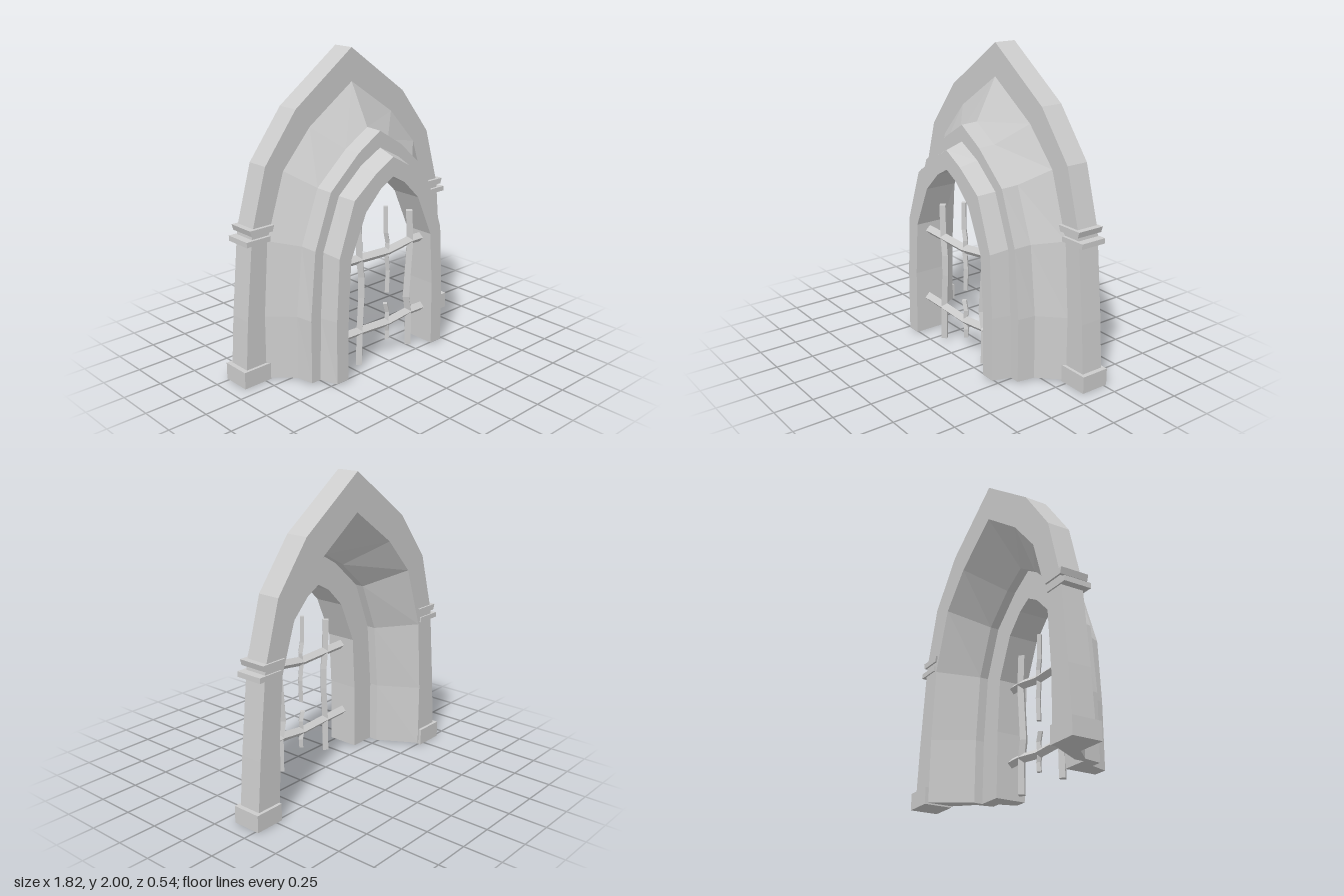
import * as THREE from 'three';

const stone = new THREE.MeshStandardMaterial({ color: 0xcccccc, flatShading: true });

// Skins a row of equal closed rings [x, y, z] and caps both ends.
// u, v are the two axes used to triangulate the caps.
function loft(rings, u, v) {
  const pos = [];
  const tri = (a, b, c) => pos.push(...a, ...b, ...c);
  const n = rings[0].length;
  for (let i = 0; i < rings.length - 1; i++) {
    for (let j = 0; j < n; j++) {
      const k = (j + 1) % n, a = rings[i], b = rings[i + 1];
      tri(a[j], a[k], b[k]);
      tri(a[j], b[k], b[j]);
    }
  }
  const cap = (ring, reverse) => {
    const flat = ring.map(p => new THREE.Vector2(p[u], p[v]));
    const turn = Math.sign(THREE.ShapeUtils.area(flat));
    for (const [a, b, c] of THREE.ShapeUtils.triangulateShape(flat, [])) {
      const same = Math.sign(THREE.ShapeUtils.area([flat[a], flat[b], flat[c]])) === turn;
      if (same !== reverse) tri(ring[a], ring[b], ring[c]);
      else tri(ring[a], ring[c], ring[b]);
    }
  };
  cap(rings[0], true);
  cap(rings[rings.length - 1], false);

  // Turn the skin outwards if its signed volume is negative
  let volume = 0;
  const A = new THREE.Vector3(), B = new THREE.Vector3(), C = new THREE.Vector3();
  for (let i = 0; i < pos.length; i += 9) {
    volume += A.fromArray(pos, i).dot(B.fromArray(pos, i + 3).cross(C.fromArray(pos, i + 6)));
  }
  if (volume < 0) {
    for (let i = 0; i < pos.length; i += 9) {
      for (let k = 3; k < 6; k++) [pos[i + k], pos[i + k + 3]] = [pos[i + k + 3], pos[i + k]];
    }
  }
  const geo = new THREE.BufferGeometry();
  geo.setAttribute('position', new THREE.Float32BufferAttribute(pos, 3));
  geo.computeVertexNormals();
  return geo;
}

function add(parent, name, geo) {
  const mesh = new THREE.Mesh(geo, stone);
  mesh.name = name;
  parent.add(mesh);
  return mesh;
}

// Half outlines of the arch, foot to apex, in order round the moulding's section
const foot = 0.015;
const outer = [[0.885, foot], [0.855, 0.43], [0.80, 0.98], [0.688, 1.37], [0.45, 1.677], [0, 2]];
const splayOuter = [[0.73, foot], [0.727, 0.43], [0.69, 0.91], [0.556, 1.32], [0.345, 1.555], [0, 1.79]];
const splayInner = [[0.592, foot], [0.588, 0.43], [0.538, 0.875], [0.408, 1.215], [0.18, 1.415], [0, 1.525]];
const stepOuter = [[0.573, foot], [0.572, 0.43], [0.53, 0.87], [0.403, 1.21], [0.178, 1.41], [0, 1.52]];
const stepInner = [[0.505, foot], [0.495, 0.43], [0.468, 0.85], [0.34, 1.177], [0.16, 1.33], [0, 1.415]];
const frontEdge = [[0.468, foot], [0.465, 0.43], [0.44, 0.83], [0.318, 1.165], [0.14, 1.30], [0, 1.378]];
const opening = [[0.375, foot], [0.37, 0.45], [0.347, 0.80], [0.225, 1.075], [0.10, 1.20], [0, 1.255]];
const recess = [[0.55, foot], [0.545, 0.43], [0.505, 0.86], [0.375, 1.18], [0.165, 1.365], [0, 1.46]];
const backInner = [[0.70, foot], [0.70, 0.43], [0.665, 0.90], [0.53, 1.30], [0.325, 1.525], [0, 1.755]];

const section = [
  [outer, -0.25], [outer, -0.10], [splayOuter, -0.10], [splayInner, 0.04],
  [stepOuter, 0.155], [stepInner, 0.155], [frontEdge, 0.27], [opening, 0.27],
  [opening, 0.06], [recess, 0.06], [recess, 0.0], [backInner, -0.25],
];

function archGeometry() {
  const rings = [];
  for (let s = 0; s <= 10; s++) {
    const side = s <= 5 ? 1 : -1, i = s <= 5 ? s : 10 - s;
    rings.push(section.map(([line, z]) => [side * line[i][0], line[i][1], z]));
  }
  return loft(rings, 0, 2);
}

// Crooked bar with a diamond section along a path of [x, y]
function barGeometry(path, r, z, horizontal) {
  const rings = path.map(([x, y]) => horizontal
    ? [[x, y + r, z], [x, y, z + r], [x, y - r, z], [x, y, z - r]]
    : [[x + r, y, z], [x, y, z + r], [x - r, y, z], [x, y, z - r]]);
  return horizontal ? loft(rings, 1, 2) : loft(rings, 0, 2);
}

// Block between two x limits; its lower half is drawn in by taper
function block(x0, x1, y0, y1, z0, z1, taper = 0) {
  const geo = new THREE.BoxGeometry(x1 - x0, y1 - y0, z1 - z0);
  const p = geo.attributes.position;
  for (let i = 0; i < p.count; i++) {
    if (p.getY(i) < 0) p.setX(i, p.getX(i) - Math.sign(p.getX(i)) * taper);
  }
  geo.translate((x0 + x1) / 2, (y0 + y1) / 2, (z0 + z1) / 2);
  geo.computeVertexNormals();
  return geo;
}

export function createModel() {
  const model = new THREE.Group();
  model.name = 'archedWindow';
  add(model, 'arch', archGeometry());

  // Plinth and two capital bands on each pillar
  for (const side of [1, -1]) {
    const pillar = new THREE.Group();
    pillar.name = side > 0 ? 'leftPillarTrim' : 'rightPillarTrim';
    const trim = (name, x0, x1, ...rest) =>
      add(pillar, name, side > 0 ? block(x0, x1, ...rest) : block(-x1, -x0, ...rest));
    trim('plinth', 0.708, 0.908, 0.005, 0.115, -0.27, -0.08);
    trim('lowerBand', 0.68, 0.855, 0.912, 0.945, -0.26, -0.08);
    trim('upperBand', 0.652, 0.83, 0.972, 1.01, -0.262, -0.077, 0.012);
    model.add(pillar);
  }

  // Broken, bent grille
  const grille = new THREE.Group();
  grille.name = 'grille';
  const z = 0.17;
  const bars = [
    ['rightUpright', 0.027, false, [[-0.195, 0.96], [-0.187, 0.74], [-0.172, 0.62], [-0.172, 0.48], [-0.187, 0.26], [-0.192, 0.02]]],
    ['leftUpright', 0.029, false, [[0.25, 0.96], [0.262, 0.74], [0.25, 0.6], [0.23, 0.37], [0.255, 0.25], [0.253, 0.02]]],
    ['upperStub', 0.019, false, [[0.038, 1.035], [0.04, 0.86], [0.056, 0.79], [0.048, 0.7], [0.06, 0.6], [0.053, 0.45]]],
    ['lowerStub', 0.019, false, [[0.038, 0.375], [0.058, 0.31], [0.048, 0.22], [0.06, 0.18], [0.055, 0.12]]],
    ['upperCrossbar', 0.032, true, [[-0.352, 0.745], [-0.19, 0.74], [0.05, 0.73], [0.25, 0.757], [0.355, 0.755]]],
    ['lowerCrossbar', 0.032, true, [[-0.378, 0.255], [-0.19, 0.25], [0.05, 0.237], [0.25, 0.258], [0.378, 0.254]]],
  ];
  for (const [name, r, horizontal, path] of bars) {
    add(grille, name, barGeometry(path, r, z, horizontal));
  }
  model.add(grille);
  return model;
}
